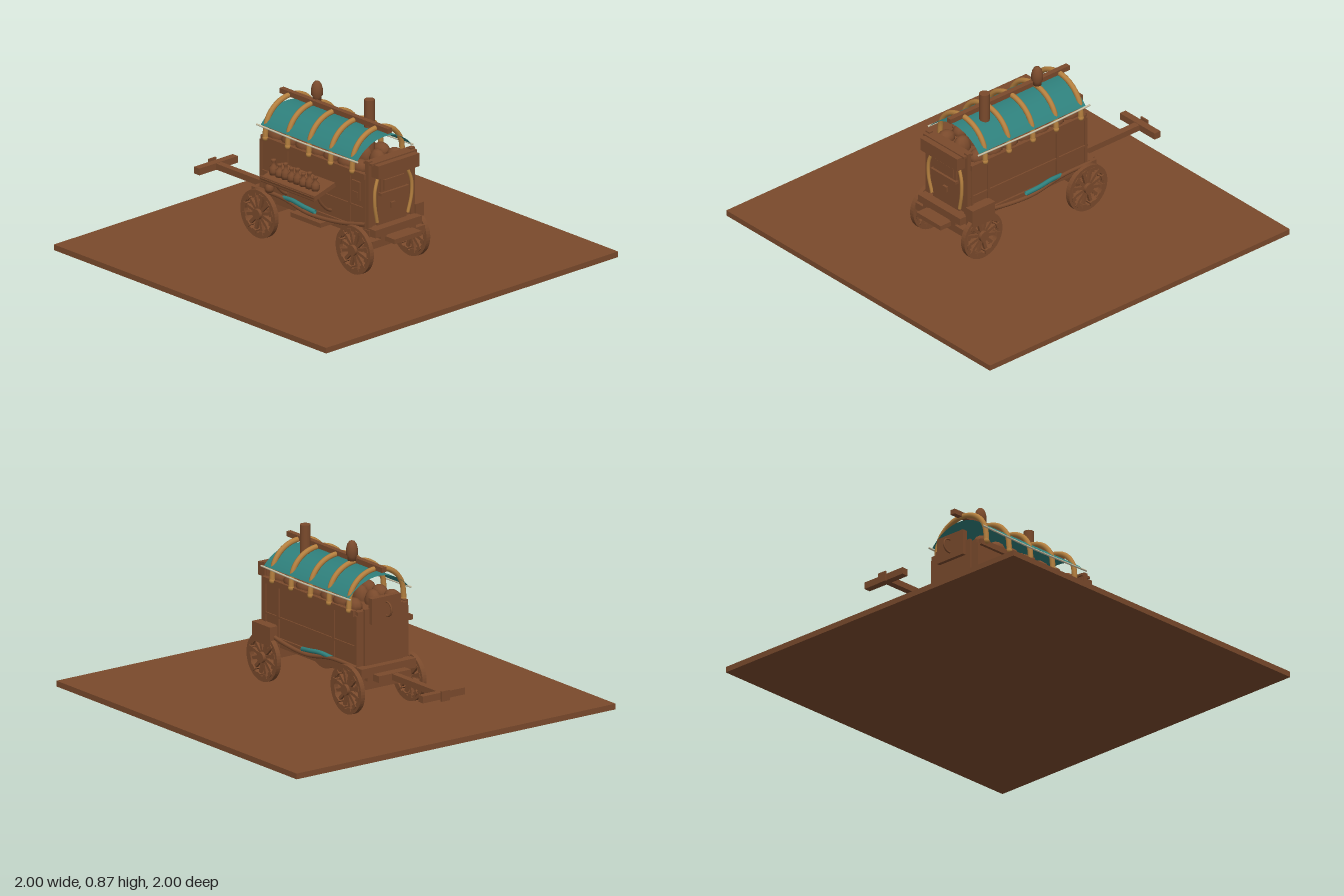
import * as THREE from 'three';

export function createModel() {
  const root = new THREE.Group();
  const mat = (name, color, side = THREE.FrontSide) => {
    const m = new THREE.MeshStandardMaterial({ color, side });
    m.name = name;
    return m;
  };
  const wood = mat('brown wood', 0x7a4a2c);
  const tan = mat('tan bentwood', 0xb5803f);
  const teal = mat('teal cloth', 0x2f807c, THREE.DoubleSide);
  const rope = mat('pale rope', 0xc9c0a4);

  const add = (name, geo, m, x = 0, y = 0, z = 0, parent = root) => {
    const mesh = new THREE.Mesh(geo, m);
    mesh.name = name;
    mesh.position.set(x, y, z);
    parent.add(mesh);
    return mesh;
  };
  // box given by its limits on each axis
  const box = (name, x0, x1, y0, y1, z0, z1, m = wood) =>
    add(name, new THREE.BoxGeometry(x1 - x0, y1 - y0, z1 - z0), m,
      (x0 + x1) / 2, (y0 + y1) / 2, (z0 + z1) / 2);
  const tube = (name, pts, r, m) => add(name, new THREE.TubeGeometry(
    new THREE.CatmullRomCurve3(pts.map(p => new THREE.Vector3(...p))), 32, r, 8), m);
  const lathe = (pts, n = 12) =>
    new THREE.LatheGeometry(pts.map(p => new THREE.Vector2(...p)), n);

  box('ground', -1, 1, 0, 0.03, -1, 1);

  // Body with mouldings and panel battens
  box('body', -0.39, 0.39, 0.27, 0.57, -0.155, 0.155);
  box('floor', -0.41, 0.42, 0.25, 0.28, -0.165, 0.165);
  for (const s of [-1, 1]) {
    const side = (name, x0, x1, y0, y1, t) =>
      box(name, x0, x1, y0, y1, Math.min(s * 0.15, s * t), Math.max(s * 0.15, s * t));
    side('topRail', -0.37, 0.39, 0.545, 0.575, 0.172);
    side('middleRail', -0.39, 0.39, 0.38, 0.39, 0.162);
    for (const x of [-0.38, -0.19, 0.27, 0.38]) side('batten', x - 0.008, x + 0.008, 0.28, 0.55, 0.163);
    box('chassisBeam', -0.42, 0.46, 0.21, 0.25, s * 0.1 - 0.02, s * 0.1 + 0.02);
    box('rearPost', 0.385, 0.41, 0.28, 0.645, s * 0.145 - 0.014, s * 0.145 + 0.014);
    tube('canopyRope', [[-0.38, 0.637, s * 0.19], [0, 0.63, s * 0.19], [0.37, 0.637, s * 0.19]], 0.005, rope);
    // swag of wood and cloth along the lower edge
    tube('lowerSwag', [[-0.4, 0.285, s * 0.17], [-0.2, 0.29, s * 0.18], [0, 0.262, s * 0.185],
      [0.22, 0.275, s * 0.18], [0.4, 0.31, s * 0.17]], 0.011, wood);
    tube('clothSwag', [[-0.2, 0.29, s * 0.175], [-0.12, 0.3, s * 0.187], [-0.04, 0.292, s * 0.19],
      [0.04, 0.28, s * 0.18]], 0.012, teal);
  }
  box('sideStep', -0.11, 0.11, 0.222, 0.246, 0.12, 0.21);
  box('toolbox', 0.27, 0.42, 0.24, 0.34, -0.21, -0.155);

  // Bundles lying on top of the body
  for (const z of [-0.12, 0, 0.12]) for (let i = 0; i < 7; i++) {
    const b = add('bundle', new THREE.SphereGeometry(0.05, 10, 7), wood, -0.31 + i * 0.103, 0.58, z);
    b.scale.set(1.05, z === 0 ? 1.3 : 0.85, 0.8);
  }

  // Hoops, ridge pole and cloth canopy
  for (const x of [-0.335, -0.17, -0.015, 0.145, 0.303]) {
    const pts = [[x, 0.57, 0.172]];
    for (let i = 0; i <= 12; i++) {
      const a = Math.PI * i / 12;
      pts.push([x, 0.61 + 0.15 * Math.sin(a), 0.17 * Math.cos(a)]);
    }
    pts.push([x, 0.57, -0.172]);
    tube('hoop', pts, 0.014, tan);
    for (const z of [-0.172, 0.172]) add('hoopFoot', new THREE.SphereGeometry(0.016, 10, 8), tan, x, 0.572, z);
  }
  box('ridgePole', -0.4, 0.395, 0.754, 0.78, -0.014, 0.014);
  const canopy = new THREE.CylinderGeometry(0.244, 0.244, 0.71, 32, 1, true, Math.PI / 2 - 0.861, 1.722);
  add('canopy', canopy.rotateZ(Math.PI / 2), teal, 0, 0.481, 0);

  // Chimney and domed finial
  add('chimney', new THREE.CylinderGeometry(0.027, 0.027, 0.3, 16), wood, 0.197, 0.72, -0.045);
  add('finial', lathe([[0, 0], [0.022, 0], [0.022, 0.02], [0.03, 0.03], [0.03, 0.06],
    [0.024, 0.085], [0.013, 0.1], [0, 0.105]], 16), wood, -0.17, 0.768, -0.028);

  // Spoked wheels and axles
  const wheelRim = new THREE.Shape().absarc(0, 0, 0.127, 0, Math.PI * 2);
  wheelRim.holes.push(new THREE.Path().absarc(0, 0, 0.1, 0, Math.PI * 2, true));
  const rimGeo = new THREE.ExtrudeGeometry(wheelRim, { depth: 0.026, bevelEnabled: false, curveSegments: 24 });
  rimGeo.translate(0, 0, -0.013);
  const spokeGeo = new THREE.BoxGeometry(0.016, 0.085, 0.016).translate(0, 0.062, 0);
  const blockGeo = new THREE.BoxGeometry(0.028, 0.022, 0.034).translate(0, 0.1, 0);
  const hubGeo = new THREE.CylinderGeometry(0.028, 0.028, 0.05, 16).rotateX(Math.PI / 2);
  for (const x of [-0.355, 0.345]) {
    for (const z of [-0.193, 0.193]) {
      const wheel = new THREE.Group();
      wheel.name = 'wheel';
      wheel.position.set(x, 0.167, z);
      add('rim', rimGeo, wood, 0, 0, 0, wheel);
      add('hub', hubGeo, wood, 0, 0, 0, wheel);
      for (let i = 0; i < 12; i++) {
        const a = (i + 0.5) * Math.PI / 6;
        add('spoke', spokeGeo, wood, 0, 0, 0, wheel).rotation.z = a;
        add('rimBlock', blockGeo, wood, 0, 0, 0, wheel).rotation.z = a;
      }
      root.add(wheel);
    }
    box('axle', x - 0.018, x + 0.018, 0.149, 0.185, -0.19, 0.19);
    box('bolster', x - 0.04, x + 0.04, 0.18, 0.26, -0.13, 0.13);
  }

  // Tongue with crossbar
  box('tongue', -0.9, -0.4, 0.216, 0.248, -0.018, 0.018);
  box('crossbar', -0.9, -0.862, 0.214, 0.25, -0.132, 0.132);
  box('tonguePlate', -0.914, -0.905, 0.206, 0.26, -0.025, 0.025);

  // Driver end
  box('footboard', -0.49, -0.44, 0.215, 0.25, -0.1, 0.1);
  box('frontSill', -0.44, -0.39, 0.235, 0.285, -0.17, 0.17);
  box('frontPanel', -0.4, -0.385, 0.28, 0.58, -0.12, 0.12);
  box('frontBox', -0.42, -0.39, 0.5, 0.635, -0.09, 0.09);
  add('frontRing', new THREE.TorusGeometry(0.036, 0.005, 8, 24), wood, -0.427, 0.57, 0);

  // Door end with lintel, window, handle and steps
  box('endWall', 0.38, 0.4, 0.28, 0.63, -0.15, 0.15);
  box('lintel', 0.4, 0.462, 0.56, 0.63, -0.14, 0.14);
  box('lintelCap', 0.37, 0.43, 0.625, 0.637, -0.155, 0.155);
  box('door', 0.4, 0.412, 0.29, 0.56, -0.1, 0.1);
  box('windowSill', 0.41, 0.435, 0.45, 0.465, -0.095, 0.095);
  box('windowFrame', 0.41, 0.422, 0.465, 0.54, -0.085, 0.085);
  box('shutter', 0.42, 0.43, 0.475, 0.53, -0.07, 0.07);
  box('latch', 0.41, 0.425, 0.365, 0.395, -0.015, 0.015);
  for (const s of [-1, 1]) tube('endScroll', [[0.415, 0.55, s * 0.1], [0.42, 0.48, s * 0.125],
    [0.42, 0.4, s * 0.125], [0.415, 0.31, s * 0.105]], 0.009, tan);
  box('rearSill', 0.39, 0.46, 0.25, 0.29, -0.16, 0.16);
  box('rearStep', 0.42, 0.53, 0.22, 0.245, -0.092, 0.092);
  box('lowerStep', 0.4, 0.46, 0.195, 0.235, -0.18, 0.18);

  // Tilted display shelf with bottles and struts
  const shelf = add('shelf', new THREE.BoxGeometry(0.39, 0.024, 0.155), wood, -0.025, 0.437, 0.237);
  shelf.rotation.x = 0.28;
  box('shelfLip', -0.225, 0.175, 0.41, 0.435, 0.3, 0.312);
  const bottle = lathe([[0, 0], [0.02, 0.002], [0.023, 0.02], [0.021, 0.042], [0.009, 0.055],
    [0.009, 0.07], [0.013, 0.074], [0.012, 0.084], [0, 0.086]]);
  for (let i = 0; i < 8; i++) {
    const b = add('bottle', bottle, wood, -0.18 + i * 0.044, 0.44, 0.26);
    b.scale.y = [1, 0.85, 1.05, 0.9][i % 4];
  }
  for (const x of [-0.19, 0.13]) tube('shelfStrut',
    [[x, 0.42, 0.255], [x, 0.365, 0.225], [x, 0.32, 0.18], [x, 0.31, 0.155]], 0.008, wood);

  // Lantern hung on the side and small plaques
  add('lantern', lathe([[0, 0], [0.018, 0.002], [0.026, 0.02], [0.02, 0.04], [0.008, 0.05], [0.006, 0.075], [0, 0.076]]),
    wood, -0.28, 0.302, 0.195);
  box('plaque', 0.29, 0.35, 0.42, 0.52, 0.15, 0.165);
  box('plaqueInset', 0.3, 0.34, 0.435, 0.465, 0.16, 0.17);
  return root;
}
